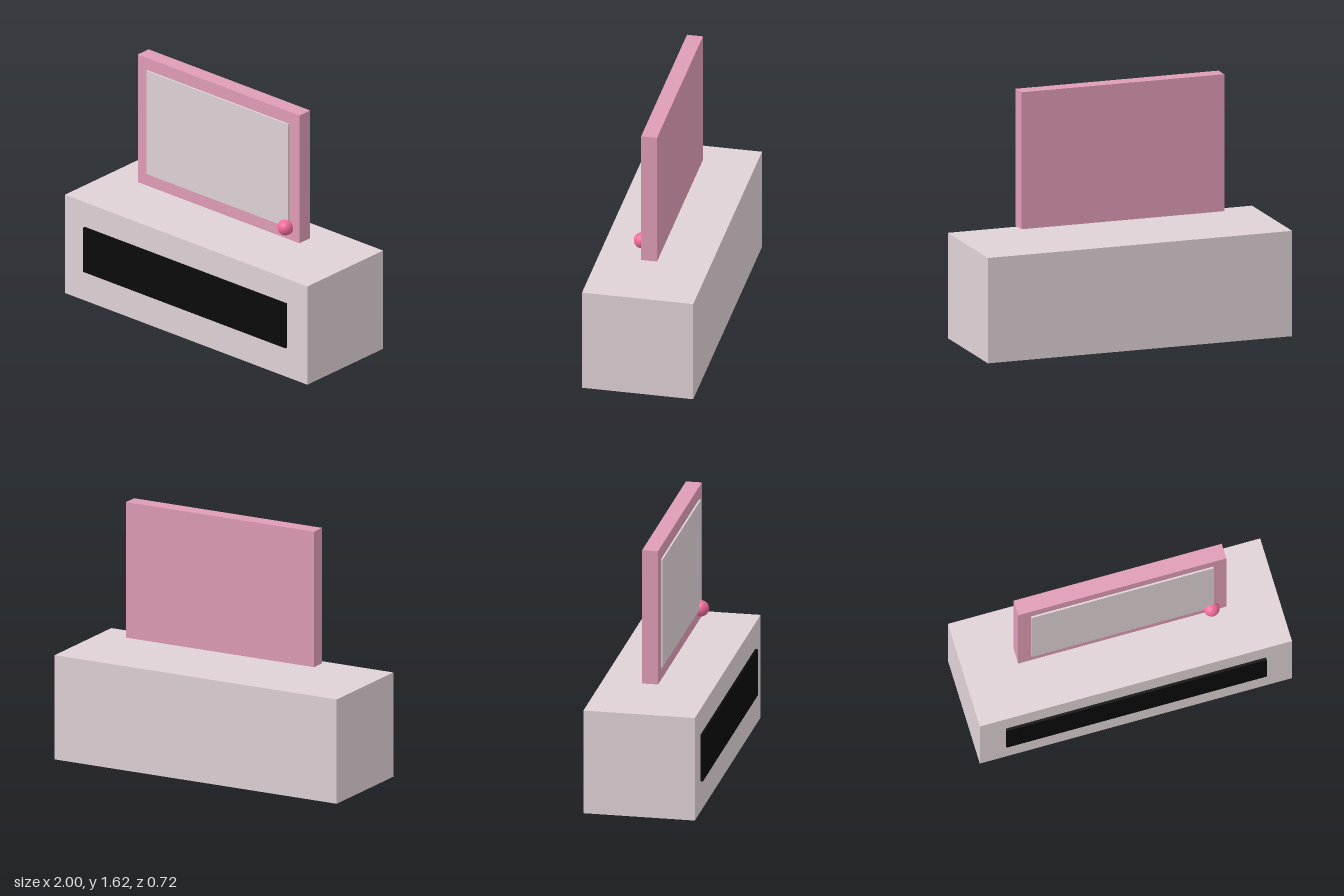
import * as THREE from 'three';

export function createModel() {
  const model = new THREE.Group();
  const paint = (color) => new THREE.MeshStandardMaterial({ color });
  const pale = paint(0xdfd2d6);
  const pink = paint(0xdf9cb7);
  const black = paint(0x0a0a0a);
  const rose = paint(0xf06a9b);

  // Box given by its size and centre
  function box(name, size, centre, material) {
    const mesh = new THREE.Mesh(new THREE.BoxGeometry(...size), material);
    mesh.name = name;
    mesh.position.set(...centre);
    model.add(mesh);
  }

  // Low cabinet with a dark front panel
  box('cabinet', [2, 0.667, 0.7], [0, 0.333, -0.008], pale);
  box('cabinetFrontPanel', [1.667, 0.3, 0.033], [0, 0.35, 0.342], black);

  // Television hovering just above the cabinet
  box('televisionCase', [1.333, 0.867, 0.1], [0, 1.185, -0.008], pink);
  box('screen', [1.167, 0.7, 0.033], [0, 1.186, 0.037], pale);

  // Round knob at the lower corner of the screen
  const knob = new THREE.Mesh(new THREE.SphereGeometry(0.05, 32, 16), rose);
  knob.name = 'knob';
  knob.position.set(0.567, 0.835, 0.058);
  model.add(knob);

  return model;
}
